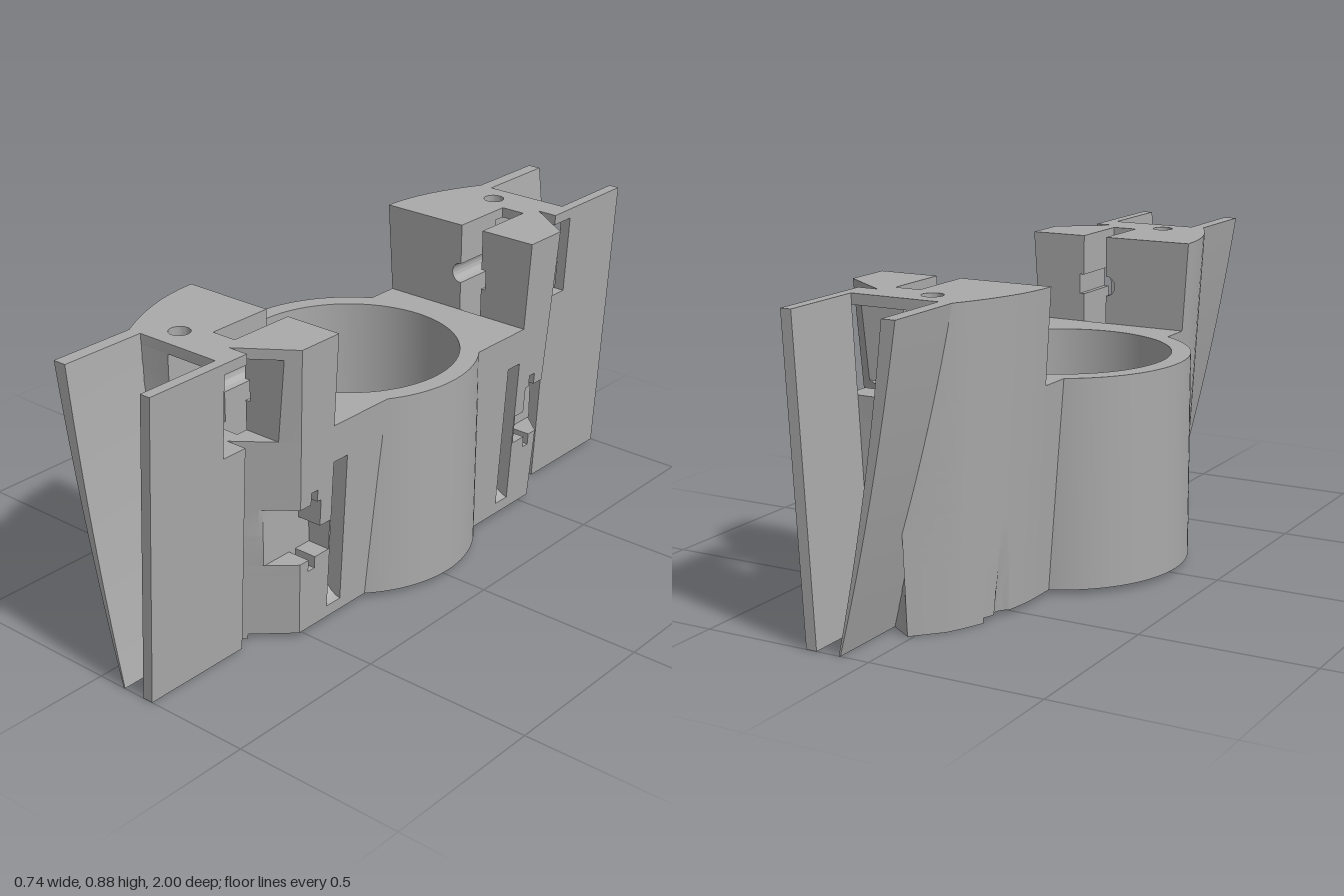
import * as THREE from 'three';
import { toCreasedNormals } from 'three/addons/utils/BufferGeometryUtils.js';

const H = 0.875;
const lean = (y) => 0.055 * (1 - y / H);              // sideways lean of the walls
const leftX = (y) => -0.2 + lean(y);
const rightX = (y) => 0.325 - lean(y);
const rightZ = (y) => 0.56 - 0.64 * lean(y);          // corner where the V notch starts
const notchX = (y) => 0.175 - lean(y);                // root of the V notch, at z = 0.665
const finX = (y) => 0.085 - 0.268 * y + 0.065 * y * y;
const finIn = (y) => finX(y) + 0.005 + 0.035 * y / H;
const plateX = (y) => 0.235 - 0.045 * (1 - y / H);
const notchAt = (y, z) => notchX(y) + (rightX(y) - notchX(y)) * (0.665 - z) / (0.665 - rightZ(y));

// Upright solid lofted through outlines f(y) of [x, z] points, with round vertical holes
function prism(y0, y1, f, n = 1, holes = []) {
  const pos = [];
  const rings = (y) => {
    const fix = (pts, cw) => (THREE.ShapeUtils.isClockWise(pts) === cw ? pts : pts.reverse());
    const outer = fix(f(y).map(([x, z]) => new THREE.Vector2(x, -z)), false);
    const inner = holes.map(([cx, cz, r]) => fix(Array.from({ length: 24 }, (_, i) => {
      const a = i * Math.PI / 12;
      return new THREE.Vector2(cx + r * Math.cos(a), -cz + r * Math.sin(a));
    }), true));
    return [outer, ...inner];
  };
  const put = (p, y) => pos.push(p.x, y, -p.y);
  for (const [y, top] of [[y0, false], [y1, true]]) {
    const rs = rings(y), all = rs.flat();
    for (const [a, b, c] of THREE.ShapeUtils.triangulateShape(rs[0], rs.slice(1))) {
      for (const i of top ? [a, b, c] : [a, c, b]) put(all[i], y);
    }
  }
  for (let s = 0; s < n; s++) {
    const ya = y0 + (y1 - y0) * s / n, yb = y0 + (y1 - y0) * (s + 1) / n;
    const lo = rings(ya), hi = rings(yb);
    lo.forEach((ring, k) => ring.forEach((p, i) => {
      const j = (i + 1) % ring.length;
      put(p, ya); put(ring[j], ya); put(hi[k][j], yb);
      put(p, ya); put(hi[k][j], yb); put(hi[k][i], yb);
    }));
  }
  const g = new THREE.BufferGeometry();
  g.setAttribute('position', new THREE.Float32BufferAttribute(pos, 3));
  return g;
}

function extrudeZ(shape, z0, z1) {
  return new THREE.ExtrudeGeometry(shape, { depth: z1 - z0, bevelEnabled: false, curveSegments: 24 }).translate(0, 0, z0);
}

function box(x0, x1, y0, y1, z0, z1) {
  return new THREE.BoxGeometry(x1 - x0, y1 - y0, z1 - z0).translate((x0 + x1) / 2, (y0 + y1) / 2, (z0 + z1) / 2);
}

// Mirror front to back, keeping faces outward
function mirrorZ(geo) {
  const g = geo.clone(), p = g.attributes.position;
  for (let i = 0; i < p.count; i += 3) {
    const v = [0, 2, 1].map((k) => [p.getX(i + k), p.getY(i + k), -p.getZ(i + k)]);
    v.forEach((c, k) => p.setXYZ(i + k, ...c));
  }
  return g;
}

// Curved outer flank of the tower, including the screw channel near its foot
function flank(y, zStart = 0.42) {
  const pts = [];
  const bow = (z) => leftX(y) + 0.1 * Math.pow((z - 0.42) / 0.325, 1.9);
  const zs = [0.42, 0.46, 0.5];
  for (let i = -6; i <= 6; i++) zs.push(0.56 + i * 0.005);
  zs.push(0.63, 0.665, 0.7, 0.725);
  for (const z of zs.filter((v) => v >= zStart)) {
    const d = z - 0.56;
    const inset = Math.max(0, Math.sqrt(Math.max(0, 0.0009 - d * d)) - 0.014 - 0.063 * y);
    pts.push([bow(z) + inset, z]);
  }
  const ex = Math.min(finX(y), 0.015);
  pts.push([ex, 0.745 + (ex - lean(y) + 0.1) * 0.92]);
  pts.push([Math.max(finX(y), 0.015) + 0.012, 0.745]);
  return pts;
}

// Full tower outline; cut gives extra points for pockets in the right wall
function tower(cut = () => []) {
  return (y) => [
    ...flank(y),
    [plateX(y), 0.745], [plateX(y), 0.665], [notchX(y), 0.665],
    ...cut(y),
    [0.15, 0.42], [0.15, 0.62], [0.075, 0.62], [0.075, 0.42],
  ];
}

export function createModel() {
  const model = new THREE.Group();
  const grey = new THREE.MeshStandardMaterial({ color: 0xaaaaaa });
  grey.name = 'grey plastic';

  const add = (name, geo, parent, crease = 0.45) => {
    const mesh = new THREE.Mesh(toCreasedNormals(geo, crease), grey);
    mesh.name = name;
    parent.add(mesh);
  };

  // Central ring
  const profile = [[0.315, 0.015], [0.37, 0.015], [0.37, 0.61], [0.315, 0.61], [0.315, 0.015]];
  add('centralRing', new THREE.LatheGeometry(profile.map((p) => new THREE.Vector2(...p)), 96), model);

  const parts = [];
  const part = (name, geo) => parts.push([name, geo.index ? geo.toNonIndexed() : geo]);

  // Bridge from the ring to the tower
  part('bridge', prism(0.015, 0.61, (y) => {
    const pts = [[leftX(y), 0.36], [rightX(y), 0.36]];
    const a0 = Math.acos(rightX(y) / 0.365), a1 = Math.acos(leftX(y) / 0.365);
    for (let i = 0; i <= 24; i++) {
      const a = a0 + (a1 - a0) * i / 24;
      pts.push([0.365 * Math.cos(a), 0.365 * Math.sin(a)]);
    }
    return pts;
  }, 4));

  // Slice with the rounded wheel groove in its right side
  const groove = new THREE.Shape();
  groove.moveTo(leftX(0.015), 0.015);
  groove.lineTo(rightX(0.015), 0.015);
  groove.lineTo(rightX(0.05), 0.05);
  groove.bezierCurveTo(rightX(0.05) - 0.13, 0.07, rightX(0.5) - 0.13, 0.48, rightX(0.5), 0.5);
  groove.lineTo(rightX(0.61), 0.61);
  groove.lineTo(leftX(0.61), 0.61);
  part('wheelGroove', extrudeZ(groove, 0.36, 0.415));
  part('grooveWall', prism(0.015, 0.61, (y) => [
    [leftX(y), 0.415], [rightX(y), 0.415], [rightX(y), 0.42], [leftX(y), 0.42]]));

  // Tower layers
  const screw = [[0.005, 0.67, 0.03]];
  const plain = (y) => [[rightX(y), rightZ(y)], [rightX(y), 0.42]];
  const thinSlot = (y) => [[rightX(y), rightZ(y)], [rightX(y), 0.5], [0.215, 0.5], [0.215, 0.475],
    [rightX(y), 0.475], [rightX(y), 0.42]];
  const clipLow = (y) => [[notchAt(y, 0.61), 0.61], [0.215, 0.6], [0.215, 0.42]];
  const clipHigh = (y) => [[notchAt(y, 0.61), 0.61], [0.215, 0.6], [0.215, 0.46],
    [rightX(y), 0.46], [rightX(y), 0.42]];
  part('towerFoot', prism(0, 0.015, (y) => [
    ...flank(y, 0.62), [plateX(y), 0.745], [plateX(y), 0.665], [notchX(y), 0.665],
    [notchAt(y, 0.62), 0.62], [leftX(y) + 0.04, 0.62]], 1, screw));
  part('towerBase', prism(0.015, 0.2, tower(plain), 4, screw));
  part('clipSlotLower', prism(0.2, 0.235, tower(thinSlot), 1, screw));
  part('clipPocketLower', prism(0.235, 0.325, tower(clipLow), 4, screw));
  part('clipPocketUpper', prism(0.325, 0.405, tower(clipHigh), 2, screw));
  part('clipSlotUpper', prism(0.405, 0.44, tower(thinSlot), 1, screw));
  part('towerMiddle', prism(0.44, 0.61, tower(plain), 3, screw));
  part('towerCap', prism(0.845, H, tower(plain), 1, screw));

  // Window level: two posts either side of the open pocket
  part('leftPost', prism(0.61, 0.845, (y) => [...flank(y), [0.037, 0.745], [0.037, 0.42]], 4, screw));
  part('rightPost', prism(0.61, 0.845, (y) => [
    [0.165, 0.42], [0.165, 0.585], [notchAt(y, 0.585), 0.585], [rightX(y), rightZ(y)], [rightX(y), 0.42]]));
  const cheek = new THREE.Shape();
  cheek.moveTo(0.037, 0.61);
  cheek.lineTo(0.075, 0.61);
  cheek.lineTo(0.075, 0.695);
  cheek.absarc(0.075, 0.725, 0.03, -Math.PI / 2, Math.PI / 2, true);
  cheek.lineTo(0.075, 0.845);
  cheek.lineTo(0.037, 0.845);
  part('grooveCheek', extrudeZ(cheek, 0.42, 0.585));
  part('postLipLower', box(0.15, 0.165, 0.61, 0.695, 0.42, 0.585));
  part('postLipUpper', box(0.15, 0.165, 0.755, 0.845, 0.42, 0.585));

  // Curved fin and leaning plate at the end
  part('curvedFin', prism(0, H, (y) => [
    [finX(y), 0.745], [finX(y), 1], [finIn(y), 1], [finIn(y), 0.745]], 12));
  part('endPlate', prism(0, H, (y) => [
    [plateX(y) - 0.032, 0.745], [plateX(y) - 0.032, 1], [plateX(y), 1], [plateX(y), 0.745]]));

  // Same assembly at the front and the back
  for (const [name, back] of [['frontMount', false], ['backMount', true]]) {
    const mount = new THREE.Group();
    mount.name = name;
    for (const [label, geo] of parts) add(label, back ? mirrorZ(geo) : geo, mount);
    model.add(mount);
  }
  return model;
}
